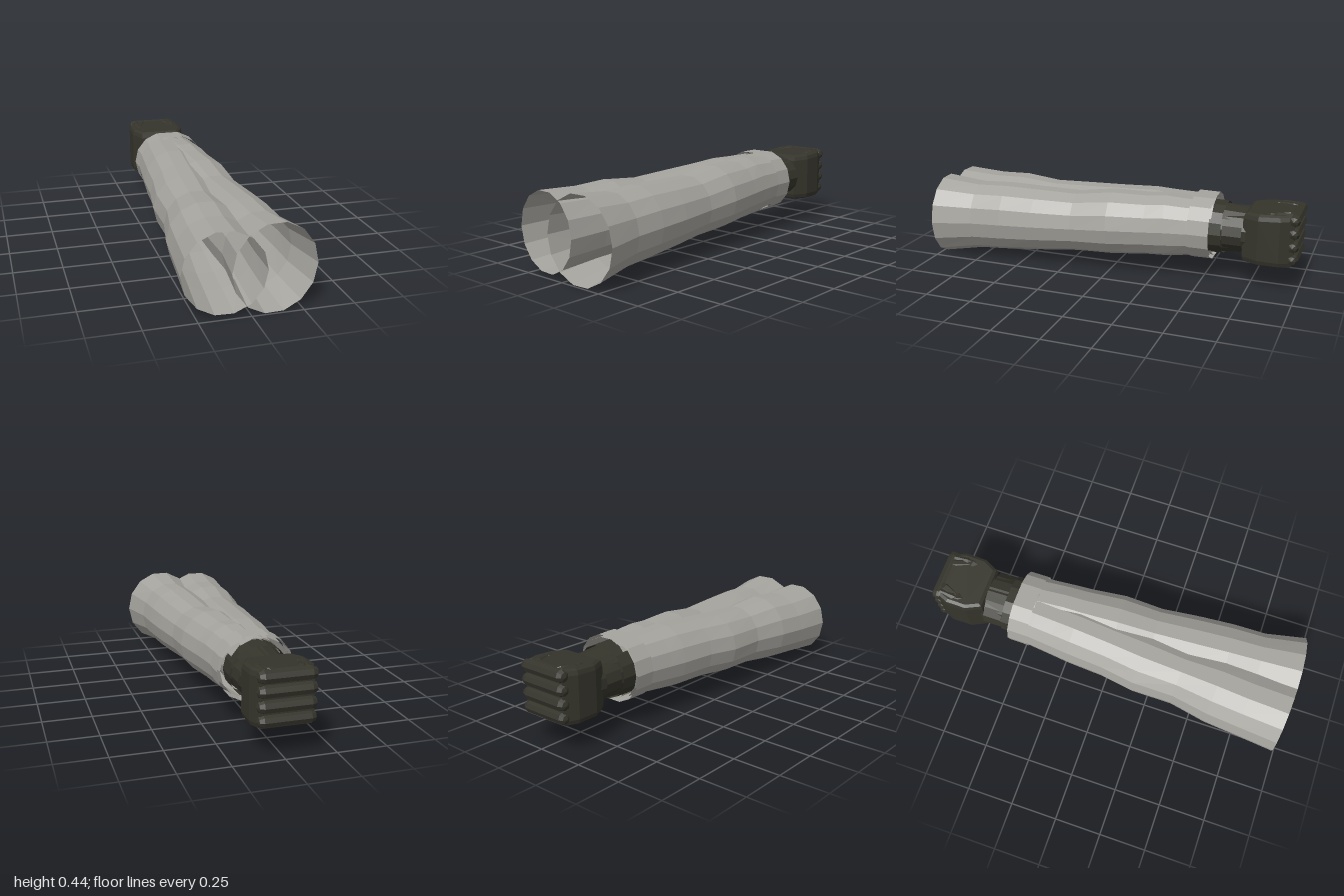
import * as THREE from 'three';

const SIDES = 14;

// Open faceted tube through rings of [z, centreX, centreY, radiusX, radiusY], each ring tilted in z
function loft(rings, tilt) {
  const pos = [], idx = [];
  rings.forEach(([z, cx, cy, rx, ry]) => {
    for (let i = 0; i < SIDES; i++) {
      const a = (i / SIDES) * Math.PI * 2;
      const dx = Math.cos(a) * rx;
      pos.push(cx + dx, cy + Math.sin(a) * ry, z - tilt * dx);
    }
  });
  for (let r = 0; r < rings.length - 1; r++) {
    for (let i = 0; i < SIDES; i++) {
      const a = r * SIDES + i, b = r * SIDES + (i + 1) % SIDES;
      idx.push(a, b, b + SIDES, a, b + SIDES, a + SIDES);
    }
  }
  // Rings run from +z to -z, so flip for outward faces
  for (let i = 0; i < idx.length; i += 3) [idx[i + 1], idx[i + 2]] = [idx[i + 2], idx[i + 1]];
  const g = new THREE.BufferGeometry();
  g.setAttribute('position', new THREE.Float32BufferAttribute(pos, 3));
  g.setIndex(idx);
  g.computeVertexNormals();
  return g;
}

export function createModel() {
  const model = new THREE.Group();
  const cloth = new THREE.MeshStandardMaterial({ color: 0xa5a39d, flatShading: true, side: THREE.DoubleSide });
  cloth.name = 'grey cloth';
  const leather = new THREE.MeshStandardMaterial({ color: 0x35342b, flatShading: true, side: THREE.DoubleSide });
  leather.name = 'dark leather';

  const add = (parent, name, geo, mat) => {
    const m = new THREE.Mesh(geo, mat);
    m.name = name;
    parent.add(m);
    return m;
  };

  // Low-poly capsule between two points
  const rod = (parent, name, a, b, r) => {
    const from = new THREE.Vector3(...a), to = new THREE.Vector3(...b);
    const dir = to.clone().sub(from);
    const m = add(parent, name, new THREE.CapsuleGeometry(r, dir.length(), 2, 8), leather);
    m.position.copy(from).add(to).multiplyScalar(0.5);
    m.quaternion.setFromUnitVectors(new THREE.Vector3(0, 1, 0), dir.normalize());
  };

  // Wrinkled sleeves that converge toward the hands
  const leftRings = [
    [0.985, 0.112, 0.215, 0.208, 0.22], [0.77, 0.099, 0.222, 0.174, 0.19],
    [0.6, 0.089, 0.23, 0.178, 0.188], [0.42, 0.078, 0.235, 0.174, 0.178],
    [0.2, 0.064, 0.242, 0.161, 0.165], [0, 0.052, 0.258, 0.174, 0.176],
    [-0.2, 0.039, 0.266, 0.161, 0.167], [-0.3, 0.033, 0.272, 0.157, 0.17],
    [-0.42, 0.026, 0.276, 0.154, 0.158], [-0.54, 0.018, 0.28, 0.152, 0.152]];
  const rightRings = [
    [0.985, -0.125, 0.217, 0.199, 0.202], [0.77, -0.114, 0.222, 0.192, 0.188],
    [0.6, -0.104, 0.232, 0.19, 0.187], [0.4, -0.093, 0.236, 0.163, 0.167],
    [0.18, -0.081, 0.244, 0.179, 0.17], [0, -0.07, 0.258, 0.165, 0.166],
    [-0.2, -0.058, 0.266, 0.167, 0.171], [-0.3, -0.052, 0.27, 0.163, 0.164],
    [-0.42, -0.046, 0.276, 0.158, 0.157], [-0.54, -0.038, 0.28, 0.155, 0.152]];

  for (const side of [1, -1]) {
    const label = side > 0 ? 'left' : 'right';
    const arm = new THREE.Group();
    arm.name = label + 'Arm';
    model.add(arm);
    add(arm, label + 'Sleeve', loft(side > 0 ? leftRings : rightRings, 0.06 * side), cloth);

    // Loose band around the sleeve end
    const bandX = side > 0 ? 0.018 : -0.038;
    add(arm, label + 'SleeveBand', loft([
      [-0.44, bandX, 0.28, 0.169, 0.169], [-0.55, bandX, 0.28, 0.168, 0.168]], 0), cloth);

    // Glove, overlapping its mirrored twin
    const glove = new THREE.Group();
    glove.name = label + 'Glove';
    glove.position.x = -0.013 + side * 0.012;
    arm.add(glove);
    add(glove, 'gloveCuff', loft([
      [-0.5, 0, 0.277, 0.142, 0.137], [-0.605, 0, 0.277, 0.142, 0.133]], 0), leather);
    const wrist = add(glove, 'wrist', new THREE.CylinderGeometry(0.116, 0.13, 0.22, SIDES), leather);
    wrist.rotation.x = -Math.PI / 2;
    wrist.position.set(0, 0.277, -0.62);
    add(glove, 'wristStrap', loft([
      [-0.61, 0, 0.277, 0.134, 0.112], [-0.71, 0, 0.277, 0.134, 0.112]], 0), leather);

    // Fist body, an octagon seen from above, rising slightly to the knuckles
    const outline = [[0.09, 0.735], [0.122, 0.8], [0.122, 0.9], [0.1, 0.95]];
    const pts = [...outline, ...outline.map(([x, y]) => [-x, y]).reverse()]
      .map(p => new THREE.Vector2(...p));
    const fist = new THREE.ExtrudeGeometry(new THREE.Shape(pts), {
      depth: 0.21, bevelEnabled: true, bevelThickness: 0.03, bevelSize: 0.022, bevelSegments: 2 });
    fist.rotateX(-Math.PI / 2);
    fist.translate(0, 0.168, 0);
    const p = fist.attributes.position;
    for (let i = 0; i < p.count; i++) {
      if (p.getY(i) > 0.3) p.setY(i, p.getY(i) + 0.06 * (-p.getZ(i) - 0.8));
    }
    fist.computeVertexNormals();
    add(glove, 'fist', fist, leather);

    // Four fingers across the front, curled back on the palm side
    [0.388, 0.32, 0.25, 0.182].forEach((y, i) => {
      const r = i === 3 ? 0.031 : 0.033;
      rod(glove, 'fingerFront', [side * 0.1, y, -0.967], [-side * 0.1, y, -0.967], r);
      rod(glove, 'fingerCurl', [-side * 0.114, y, -0.955], [-side * 0.12, y, -0.88], r);
    });

    // Thumb folded along the palm side
    rod(glove, 'thumbBase', [-side * 0.09, 0.36, -0.77], [-side * 0.118, 0.385, -0.86], 0.034);
    rod(glove, 'thumbTip', [-side * 0.118, 0.385, -0.86], [-side * 0.085, 0.395, -0.94], 0.03);
  }
  return model;
}
